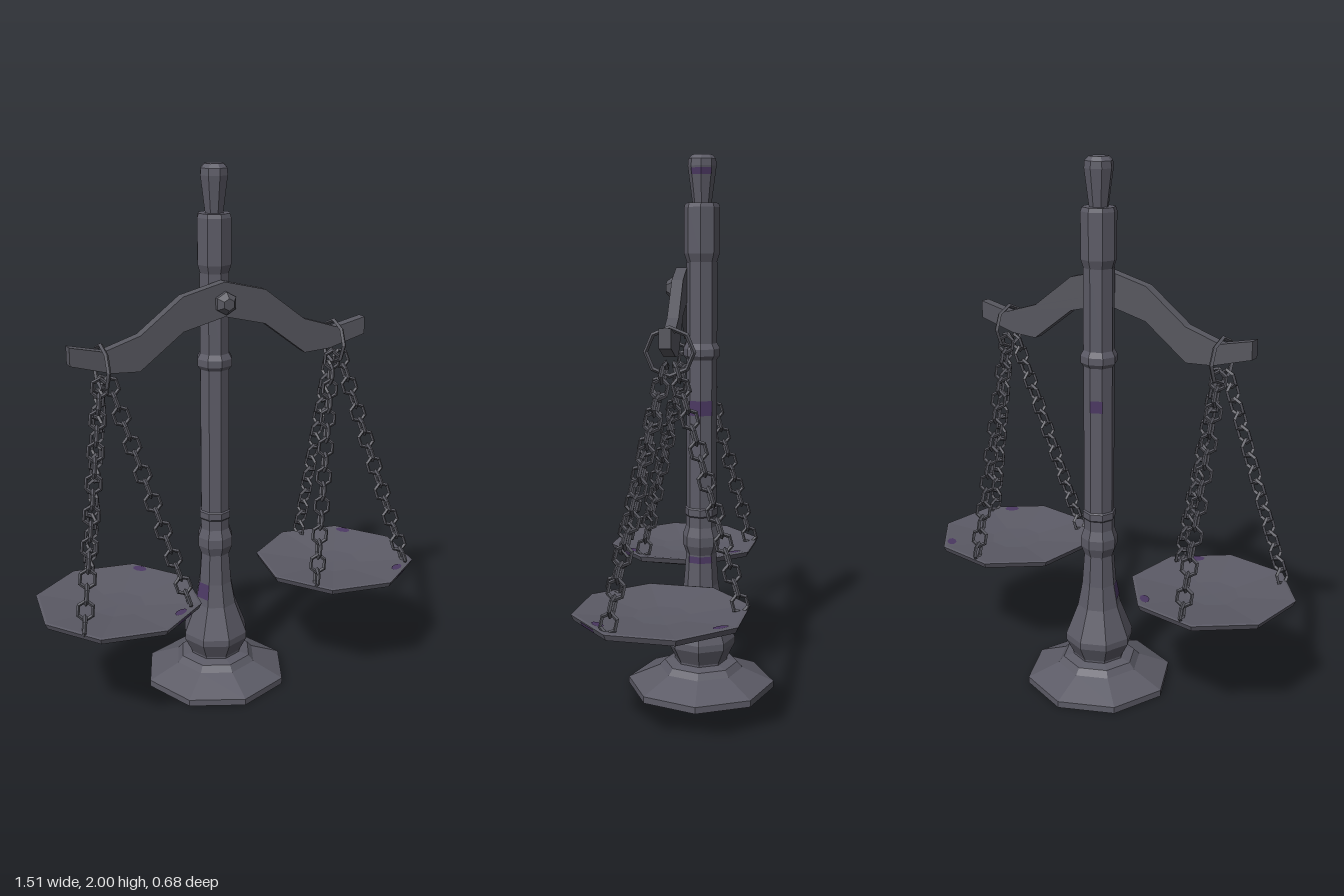
import * as THREE from 'three';
import { mergeGeometries } from 'three/addons/utils/BufferGeometryUtils.js';

const iron = new THREE.MeshStandardMaterial({ color: 0x5c5b66 });
iron.name = 'iron';
const darkIron = new THREE.MeshStandardMaterial({ color: 0x57575f });
darkIron.name = 'dark iron';
const purple = new THREE.MeshStandardMaterial({ color: 0x4b3862 });
purple.name = 'purple tarnish';

const CX = -0.02; // the beam and column share this x
const CZ = -0.061; // depth of the column
const EIGHTH = Math.PI / 4;

// Faceted normals
function flat(geometry) {
  const g = geometry.index ? geometry.toNonIndexed() : geometry;
  g.computeVertexNormals();
  return g;
}

function part(name, geometry, material, x = 0, y = 0, z = 0) {
  const mesh = new THREE.Mesh(flat(geometry), material);
  mesh.name = name;
  mesh.position.set(x, y, z);
  return mesh;
}

// Eight-sided turned shape, or only some of its sides
function lathe(profile, turn = 0, sides = 8) {
  const points = profile.map(([r, y]) => new THREE.Vector2(r, y));
  return new THREE.LatheGeometry(points, sides, turn, sides * EIGHTH);
}

// Hexagonal links, alternately turned a quarter, from one point to another
function chain(from, to, count) {
  const dir = to.clone().sub(from).normalize();
  const aim = new THREE.Quaternion().setFromUnitVectors(new THREE.Vector3(1, 0, 0), dir);
  const pitch = from.distanceTo(to) / count;
  const links = [];
  for (let i = 0; i < count; i++) {
    const link = new THREE.TorusGeometry(0.028, 0.0065, 4, 6);
    link.scale(pitch / 0.045, 1.05, 1.1);
    link.rotateX((i % 2) * Math.PI / 2);
    link.applyQuaternion(aim);
    const p = from.clone().addScaledVector(dir, (i + 0.5) * pitch);
    link.translate(p.x, p.y, p.z);
    links.push(link);
  }
  return mergeGeometries(links);
}

// Thin tarnish mark lying on a surface with the given normal
function mark(geometry, position, normal) {
  const mesh = part('tarnishMark', geometry, purple, ...position);
  mesh.lookAt(new THREE.Vector3(...position).add(new THREE.Vector3(...normal)));
  return mesh;
}

export function createModel() {
  const model = new THREE.Group();
  model.name = 'balanceScale';

  // Stand
  model.add(part('base', lathe([
    [0, 0], [0.28, 0], [0.28, 0.025], [0.16, 0.077], [0.14, 0.1], [0.105, 0.108], [0, 0.108],
  ]), iron, CX, 0, CZ));
  model.add(part('column', lathe([
    [0.1, 0.1], [0.1, 0.115], [0.13, 0.175], [0.13, 0.2], [0.083, 0.32], [0.066, 0.41],
    [0.057, 0.53], [0.07, 0.565], [0.07, 0.6], [0.058, 0.635], [0.058, 0.675], [0.062, 0.68],
    [0.062, 0.705], [0.057, 0.71], [0.057, 1.265], [0.068, 1.28], [0.068, 1.305],
    [0.057, 1.325], [0.057, 1.62],
  ]), iron, CX, 0, CZ));
  model.add(part('collar', lathe([
    [0.05, 1.6], [0.055, 1.62], [0.065, 1.65], [0.065, 1.815], [0.06, 1.83], [0, 1.83],
  ]), iron, CX, 0, CZ));
  model.add(part('finial', lathe([
    [0.034, 1.825], [0.052, 1.96], [0.05, 1.985], [0.036, 2], [0, 2],
  ]), iron, CX, 0, CZ));

  // Tarnish on single sides of the stand: profile, first side, number of sides
  const stains = [
    [[[0.0588, 1.06], [0.0588, 1.115]], 1, 2],
    [[[0.0588, 1.1], [0.0588, 1.145]], 4, 1],
    [[[0.0612, 0.5], [0.0592, 0.525]], 1, 2],
    [[[0.079, 0.35], [0.068, 0.41]], 6, 1],
    [[[0.0495, 1.93], [0.0525, 1.953]], 1, 2],
  ];
  for (const [profile, first, sides] of stains) {
    model.add(part('columnTarnish', lathe(profile, first * EIGHTH, sides), purple, CX, 0, CZ));
  }

  // Curved beam: half outline mirrored about its middle
  const half = [
    [0, 1.6], [0.16, 1.56], [0.32, 1.438], [0.455, 1.395], [0.577, 1.422],
    [0.577, 1.357], [0.43, 1.316], [0.325, 1.31], [0.16, 1.435], [0, 1.475],
  ];
  const outline = [...half, ...half.slice(1, -1).reverse().map(([x, y]) => [-x, y])];
  const shape = new THREE.Shape(outline.map(([x, y]) => new THREE.Vector2(x, y)));
  model.add(part('beam', new THREE.ExtrudeGeometry(shape, { depth: 0.04, bevelEnabled: false }),
    darkIron, CX, 0, -0.007));

  // Pivot bolt
  const head = new THREE.CylinderGeometry(0.022, 0.042, 0.022, 6);
  head.translate(0, 0.022, 0);
  const shank = new THREE.CylinderGeometry(0.042, 0.042, 0.022, 6);
  const pivot = mergeGeometries([head, shank]);
  pivot.rotateX(Math.PI / 2);
  model.add(part('pivotBolt', pivot, darkIron, CX, 1.525, 0.036));

  // Hanging pans
  const feet = [[-0.172, 0.225], [0.248, 0.18], [0, -0.245]];
  const turn = 0.253;
  for (const side of [1, -1]) {
    const hang = new THREE.Group();
    hang.name = side > 0 ? 'leftPan' : 'rightPan';
    const hookX = CX + side * 0.458;
    const panX = side * 0.455;
    const panZ = 0.037;

    const ring = new THREE.TorusGeometry(0.08, 0.008, 4, 8);
    ring.rotateY(Math.PI / 2);
    hang.add(part('hangingRing', ring, darkIron, hookX, 1.335, 0.01));

    for (const [dx, dz] of feet) {
      const from = new THREE.Vector3(hookX + dx * 0.07, 1.295, 0.01 + dz * 0.07);
      const to = new THREE.Vector3(hookX + dx, 0.455, 0.01 + dz);
      hang.add(part('chain', chain(from, to, 16), darkIron));
    }

    hang.add(part('pan', lathe([
      [0, 0.376], [0.09, 0.376], [0.3, 0.436], [0.31, 0.457], [0.3, 0.459],
      [0.1, 0.437], [0, 0.435],
    ], turn), iron, panX, 0, panZ));

    // Tarnish by the rim: side of the pan, then sideways shift along it
    for (const [face, shift] of [[0, -0.02], [2, -0.07]]) {
      const a = turn + (face + 0.5) * EIGHTH;
      const [s, c] = [Math.sin(a), Math.cos(a)];
      const spot = new THREE.CircleGeometry(0.03, 8);
      spot.scale(1, 0.6, 1);
      hang.add(mark(spot,
        [panX + s * 0.257 - c * shift, 0.459, panZ + c * 0.257 + s * shift],
        [-s * 0.108, 1, -c * 0.108]));
    }
    const a = turn + 0.5 * EIGHTH;
    const [s, c] = [Math.sin(a), Math.cos(a)];
    hang.add(mark(new THREE.PlaneGeometry(0.09, 0.016),
      [panX + s * 0.284, 0.4465, panZ + c * 0.284], [s, -0.44, c]));
    model.add(hang);
  }
  return model;
}
